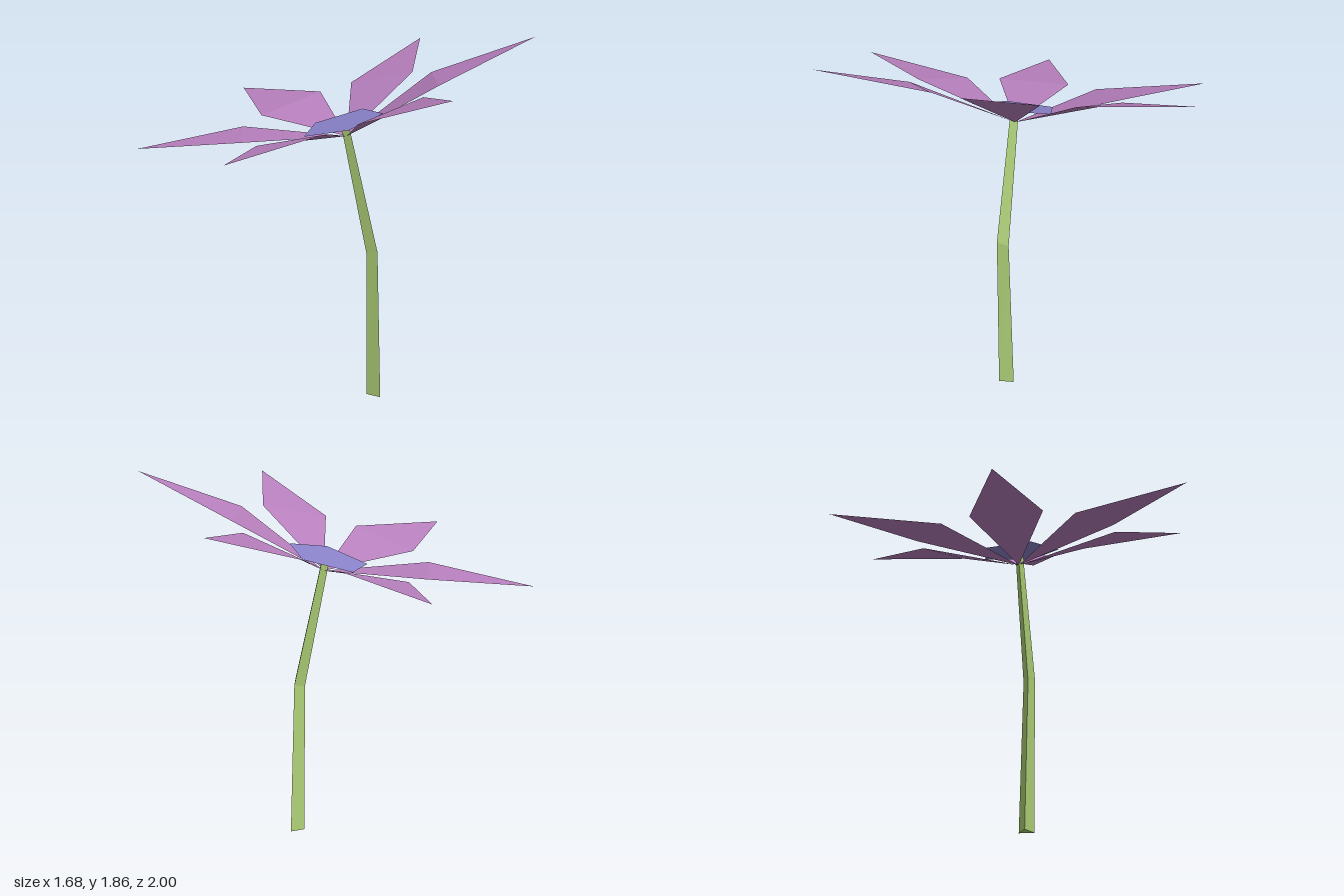
import * as THREE from 'three';

function material(name, color) {
  const m = new THREE.MeshStandardMaterial({ color, side: THREE.DoubleSide });
  m.name = name;
  return m;
}

// Flat-faceted mesh from corner points and triangles
function facets(name, points, triangles, mat) {
  const g = new THREE.BufferGeometry();
  g.setAttribute('position', new THREE.Float32BufferAttribute(
    triangles.flatMap((t) => t.flatMap((i) => points[i])), 3));
  g.computeVertexNormals();
  const mesh = new THREE.Mesh(g, mat);
  mesh.name = name;
  return mesh;
}

export function createModel() {
  const green = material('stemGreen', 0xaed077);
  const purple = material('petalPurple', 0xb880be);
  const blue = material('centreBlue', 0x8c84cc);
  const flower = new THREE.Group();
  flower.name = 'flower';

  // Bent three-sided stem: front left, front right and back corner of each section
  const sections = [
    [[0.155, 0, -0.065], [0.235, 0, -0.065], [0.195, 0, -0.13]],
    [[0.16, 0.775, -0.045], [0.22, 0.8, -0.045], [0.19, 0.785, -0.095]],
    [[0.036, 1.41, -0.012], [0.076, 1.43, -0.012], [0.056, 1.42, -0.045]],
  ];
  const stemFaces = [[0, 2, 1], [6, 7, 8]];
  for (let s = 0; s < 2; s++) {
    for (let i = 0; i < 3; i++) {
      const a = s * 3 + i, b = s * 3 + (i + 1) % 3;
      stemFaces.push([a, b, b + 3], [a, b + 3, a + 3]);
    }
  }
  flower.add(facets('stem', sections.flat(), stemFaces, green));

  // Folded kite petals sharing one root: side corner, tip, side corner
  const root = [0.055, 1.38, -0.025];
  const petals = {
    backPetal: [[0.185, 1.625, -0.49], [-0.01, 1.7, -1], [-0.165, 1.535, -0.49]],
    backLeftPetal: [[0.51, 1.665, -0.09], [0.83, 1.86, -0.485], [0.33, 1.655, -0.4]],
    frontLeftPetal: [[0.335, 1.565, 0.395], [0.84, 1.75, 0.51], [0.51, 1.645, 0.085]],
    frontPetal: [[-0.155, 1.42, 0.47], [0.01, 1.48, 1], [0.195, 1.515, 0.47]],
    frontRightPetal: [[-0.48, 1.385, 0.07], [-0.835, 1.32, 0.48], [-0.3, 1.395, 0.38]],
    backRightPetal: [[-0.305, 1.487, -0.41], [-0.845, 1.43, -0.515], [-0.48, 1.405, -0.105]],
  };
  for (const [name, corners] of Object.entries(petals)) {
    flower.add(facets(name, [root, ...corners], [[0, 1, 3], [1, 2, 3]], purple));
  }

  // Tilted five-sided centre
  const rim = [[0.035, -0.23], [-0.155, -0.085], [-0.085, 0.15], [0.16, 0.155], [0.23, -0.07]]
    .map(([x, z]) => [x, 1.45 + 0.255 * (x - 0.04) - 0.11 * (z + 0.02), z]);
  flower.add(facets('centre', rim, [[0, 1, 2], [0, 2, 3], [0, 3, 4]], blue));

  return flower;
}
